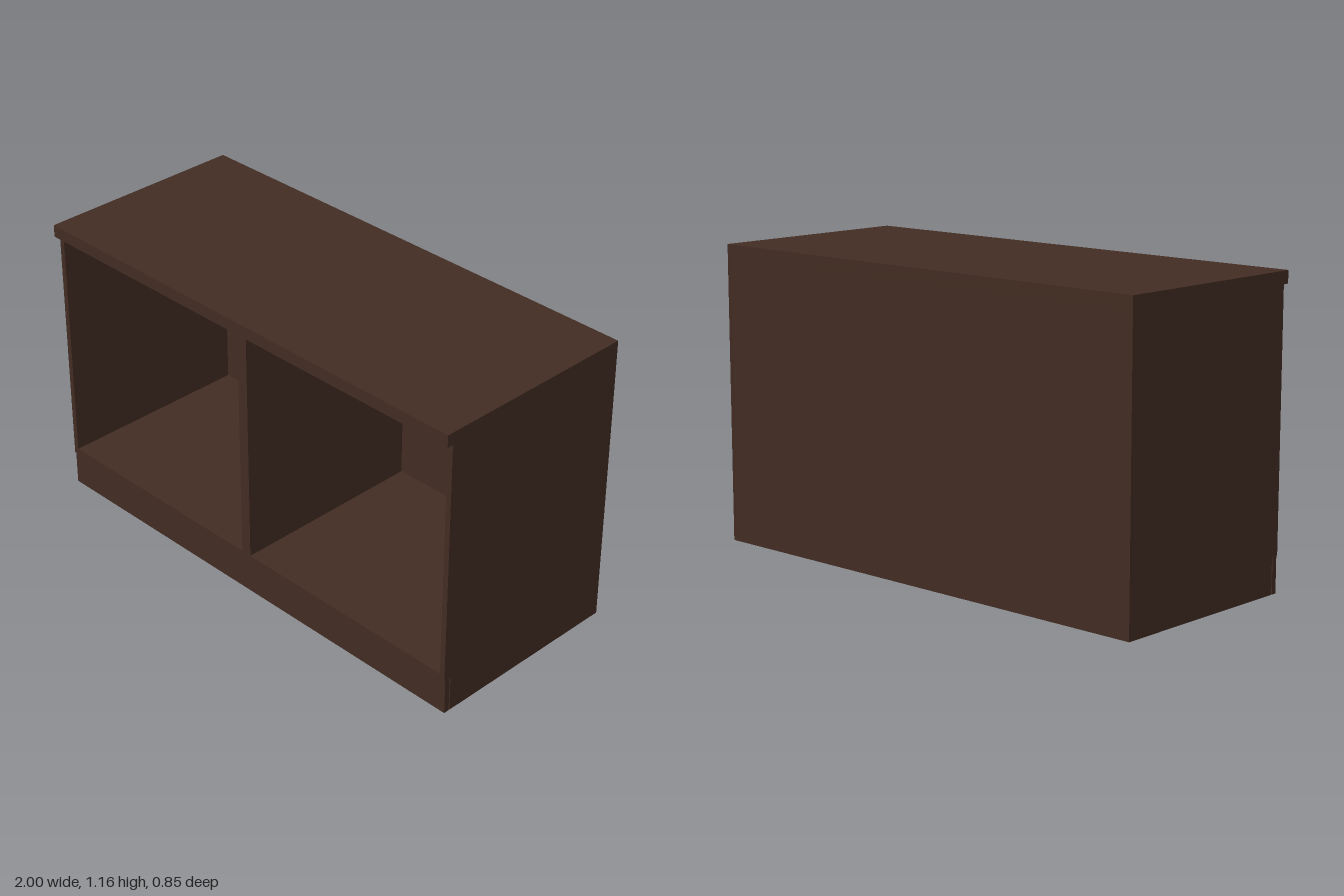
import * as THREE from 'three';

export function createModel() {
  const group = new THREE.Group();
  const wood = new THREE.MeshStandardMaterial({ color: 0x432d23 });
  wood.name = 'dark brown wood';

  // Board given by its min and max on each axis
  const board = (name, [x0, x1], [y0, y1], [z0, z1]) => {
    const mesh = new THREE.Mesh(new THREE.BoxGeometry(x1 - x0, y1 - y0, z1 - z0), wood);
    mesh.position.set((x0 + x1) / 2, (y0 + y1) / 2, (z0 + z1) / 2);
    mesh.name = name;
    group.add(mesh);
  };

  const t = 0.022;        // board thickness
  const back = -0.423;    // outer back face
  const front = 0.398;    // carcass front
  const inner = 1 - t;
  const kickTop = 0.14;
  const floorTop = 0.165;
  const topUnder = 1.112;
  const ceiling = 1.09;

  // Worktop with front overhang
  board('worktop', [-1, 1], [topUnder, 1.16], [back, 0.423]);

  // Side panels, notched at the toe for the plinth
  const toe = 0.367;
  const outline = new THREE.Shape([
    [back, 0], [toe, 0], [toe, kickTop], [front, kickTop], [front, topUnder], [back, topUnder],
  ].map(([z, y]) => new THREE.Vector2(-z, y)));
  const sideGeometry = new THREE.ExtrudeGeometry(outline, { depth: t, bevelEnabled: false });
  sideGeometry.rotateY(Math.PI / 2);
  for (const [name, x] of [['rightSidePanel', -1], ['leftSidePanel', inner]]) {
    const side = new THREE.Mesh(sideGeometry, wood);
    side.position.x = x;
    side.name = name;
    group.add(side);
  }

  // Inner carcass
  board('backPanel', [-inner, inner], [0, topUnder], [back, back + t]);
  board('bottomShelf', [-inner, inner], [kickTop, floorTop], [back + t, front]);
  board('topPanel', [-inner, inner], [ceiling, topUnder], [back + t, front]);
  board('divider', [-t, t], [floorTop, ceiling], [back + t, front]);

  // Plinth board, standing just clear of the side panels
  board('plinth', [-1, 1], [0, kickTop], [0.371, 0.393]);

  return group;
}
